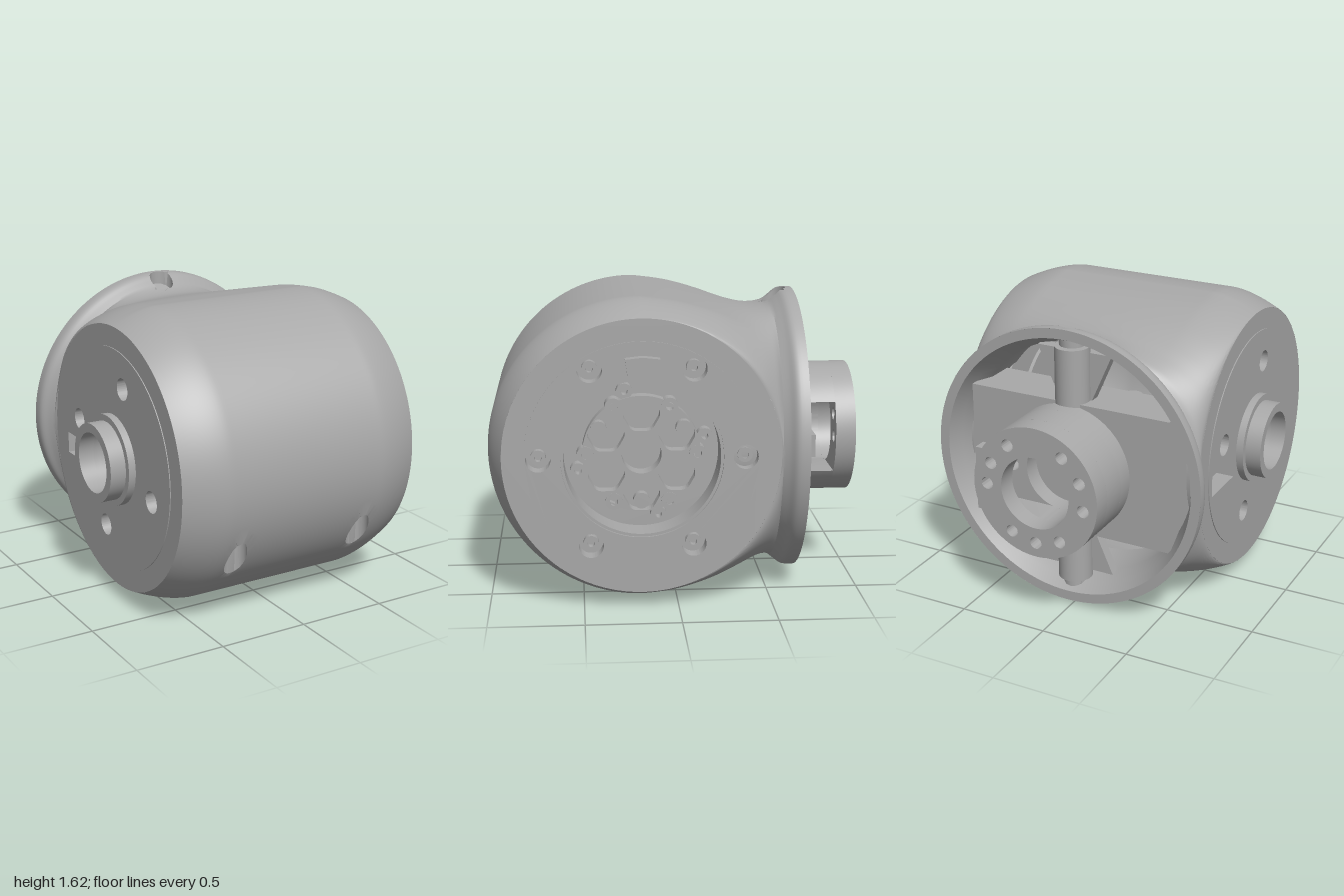
import * as THREE from 'three';
import { toCreasedNormals } from 'three/addons/utils/BufferGeometryUtils.js';

const grey = new THREE.MeshStandardMaterial({ color: 0xa8a8a8, side: THREE.DoubleSide });
grey.name = 'grey metal';

const CX = 0.0275, CY = 0.82, CZ = 0.19; // barrel centre
const HALF = 0.7175, EDGE = 0.73, RADIUS = 0.81; // half width, side face radius, barrel radius
const TAU = Math.PI * 2;

function add(parent, name, geometry) {
  const mesh = new THREE.Mesh(geometry, grey);
  mesh.name = name;
  parent.add(mesh);
  return mesh;
}

const circle = (r, x = 0, y = 0) => new THREE.Shape().absarc(x, y, r, 0, TAU, false);
const polar = (r, deg) => [r * Math.cos(deg * Math.PI / 180), r * Math.sin(deg * Math.PI / 180)];
const polarHoles = (r, ringR, angles) => angles.map(d => circle(r, ...polar(ringR, d)));

// Flat plate with holes, lying between two heights along its axis
function plate(parent, name, shape, holes, from, to) {
  shape.holes = holes;
  const geo = new THREE.ExtrudeGeometry(shape, { depth: to - from, bevelEnabled: false, curveSegments: 40 });
  geo.translate(0, 0, from);
  return add(parent, name, toCreasedNormals(geo, 0.5));
}

// Closed polygon with rounded corners
function roundedPolygon(n, r, x, y, turn) {
  const pts = [];
  for (let i = 0; i < n; i++) {
    const a = turn + i * TAU / n;
    pts.push(new THREE.Vector2(x + r * Math.cos(a), y + r * Math.sin(a)));
  }
  const shape = new THREE.Shape();
  pts.forEach((p, i) => {
    const prev = pts[(i + n - 1) % n], next = pts[(i + 1) % n];
    const s = p.clone().lerp(prev, 0.3), e = p.clone().lerp(next, 0.3);
    if (i) shape.lineTo(s.x, s.y); else shape.moveTo(s.x, s.y);
    shape.quadraticCurveTo(p.x, p.y, e.x, e.y);
  });
  shape.closePath();
  return shape;
}

// Barrel skin flowing into the round rear flange, with screw wells pressed in
function hullGeometry() {
  const COLS = 96, BARREL = 128;
  const neck = new THREE.CatmullRomCurve3([
    [0.19, 0.81, HALF], [0, 0.787, HALF], [-0.2, 0.745, HALF], [-0.35, 0.709, HALF],
    [-0.44, 0.7, HALF], [-0.52, 0.716, 0.72], [-0.575, 0.755, 0.75], [-0.615, 0.785, 0.785],
    [-0.64, 0.79, 0.79], [-0.68, 0.79, 0.79],
  ].map(p => new THREE.Vector3(...p))).getSpacedPoints(60);

  const barrelCurve = a => {
    const q = Math.abs(Math.cos(a));
    return q < 0.64 ? 1 : 1 - Math.pow((q - 0.64) / 0.36, 1.6);
  };
  const neckRow = (p, sign) => a => {
    const c = Math.sqrt(Math.max(0, EDGE * EDGE - (p.x - CZ) ** 2));
    const w = 1 - THREE.MathUtils.smoothstep(p.x, -0.5, CZ);
    const f = THREE.MathUtils.lerp(barrelCurve(a), Math.sin(a), w);
    return [CX + p.z * Math.cos(a), CY + sign * (c + (p.y - c) * f), p.x];
  };
  const barrelRow = phi => a => {
    const r = EDGE + (RADIUS - EDGE) * barrelCurve(a);
    return [CX + HALF * Math.cos(a), CY + r * Math.sin(phi), CZ + r * Math.cos(phi)];
  };

  const rows = [];
  for (let i = neck.length - 1; i > 0; i--) rows.push(neckRow(neck[i], -1));
  for (let i = 0; i <= BARREL; i++) rows.push(barrelRow((i / BARREL - 0.5) * Math.PI));
  for (let i = 1; i < neck.length; i++) rows.push(neckRow(neck[i], 1));

  const pos = [], index = [];
  rows.forEach((row, i) => {
    for (let j = 0; j <= COLS; j++) {
      pos.push(...row(j / COLS * Math.PI));
      if (i < rows.length - 1 && j < COLS) {
        const p = i * (COLS + 1) + j, up = p + COLS + 1;
        index.push(p, up, p + 1, up, up + 1, p + 1);
      }
    }
  });
  const geo = new THREE.BufferGeometry();
  geo.setAttribute('position', new THREE.Float32BufferAttribute(pos, 3));
  geo.setIndex(index);
  geo.computeVertexNormals();

  // Vertical wells: x, z, radius, floor height, upper or lower side
  const wells = [
    [-0.36, 0.89, 0.06, 0.62, -1], [0.415, 0.89, 0.06, 0.62, -1],
    [CX, -0.58, 0.068, 1.5, 1], [CX, -0.58, 0.068, 0.14, -1],
  ];
  const P = geo.attributes.position, N = geo.attributes.normal, step = 0.022;
  for (let i = 0; i < P.count; i++) {
    const x = P.getX(i), y = P.getY(i), z = P.getZ(i);
    for (const [hx, hz, r, floor, side] of wells) {
      const dx = x - hx, dz = z - hz, d = Math.hypot(dx, dz);
      if ((y - CY) * side <= 0 || d > r + step || d === 0) continue;
      const k = d < r - step ? 1 : r / d;
      const mx = dx * (k - 1), mz = dz * (k - 1);
      const ny = d < r ? floor : y - (N.getX(i) * mx + N.getZ(i) * mz) / N.getY(i);
      P.setXYZ(i, x + mx, ny, z + mz);
    }
  }
  return toCreasedNormals(geo, 0.6);
}

function sideGroup(parent, name, x, turn) {
  const g = new THREE.Group();
  g.name = name;
  g.position.set(x, CY, CZ);
  g.rotation.y = turn;
  parent.add(g);
  plate(g, 'sidePanel', circle(EDGE), [circle(0.612)], -0.05, 0);
  return g;
}

// Output side: recessed rotor, six screws and a key
function buildOutputSide(model) {
  const g = sideGroup(model, 'outputSide', 0.745, Math.PI / 2);
  const six = [0, 60, 120, 180, 240, 300];
  plate(g, 'outputCover', circle(0.614), [circle(0.425), ...polarHoles(0.065, 0.54, six)], -0.08, 0.007);
  plate(g, 'recessLip', circle(0.425), [circle(0.41)], -0.16, -0.004);
  plate(g, 'coverBacking', circle(0.61), [circle(0.41)], -0.17, -0.08);
  plate(g, 'recessFloor', circle(0.42), [circle(0.105)], -0.19, -0.16);
  plate(g, 'shaftEnd', circle(0.11), [], -0.26, -0.22);
  for (const d of six) {
    const [u, v] = polar(0.54, d);
    plate(g, 'coverScrew', circle(0.04, u, v), [circle(0.02, u, v)], -0.08, -0.04);
    const [a, b] = polar(0.295, d);
    plate(g, 'rotorLobe', circle(0.045, a, b), [circle(0.022, a, b)], -0.16, -0.085);
  }
  const pockets = six.map(d => roundedPolygon(6, 0.105, ...polar(0.215, d + 30), (d + 30) * Math.PI / 180 + Math.PI / 6));
  plate(g, 'rotor', circle(0.312), [circle(0.105), ...pockets, ...polarHoles(0.022, 0.295, six)], -0.16, -0.09);
  for (const d of [30, 150, 270]) plate(g, 'rotorPin', circle(0.043, ...polar(0.26, d)), [], -0.16, -0.11);
  for (const d of [15, 105, 195, 285]) {
    const [u, v] = polar(0.345, d);
    plate(g, 'rotorScrew', circle(0.042, u, v), [circle(0.018, u, v)], -0.16, -0.1);
  }
  const key = new THREE.Shape([[-0.09, 0.53], [-0.075, 0.43], [0.075, 0.43], [0.09, 0.53], [0, 0.54]]
    .map(p => new THREE.Vector2(...p)));
  plate(g, 'key', key, [], 0, 0.065);
}

// Bearing side: stepped hollow boss, four holes and a cable slot
function buildBearingSide(model) {
  const g = sideGroup(model, 'bearingSide', -0.69, -Math.PI / 2);
  const slot = new THREE.Shape([[-0.57, -0.13], [-0.28, -0.13], [-0.28, -0.01], [-0.57, -0.01]]
    .map(p => new THREE.Vector2(...p)));
  const holes = polarHoles(0.06, 0.43, [75, 165, 255, 345]);
  plate(g, 'bearingCover', circle(0.614), [circle(0.165), slot, ...holes], -0.1, 0.005);
  plate(g, 'coverBacking', circle(0.61), [circle(0.165)], -0.13, -0.1);
  plate(g, 'bossStep', circle(0.25), [circle(0.165)], 0, 0.045);
  plate(g, 'boss', circle(0.215), [circle(0.165)], 0.045, 0.133);
  plate(g, 'boreEnd', circle(0.18), [circle(0.08)], -0.2, -0.13);
}

// Rear opening: rim, block, posts and the slotted hub
function buildRear(model) {
  const g = new THREE.Group();
  g.name = 'rear';
  g.position.set(CX, CY, 0);
  g.rotation.y = Math.PI;
  model.add(g);

  const rim = new THREE.LatheGeometry([[0.79, 0.68], [0.735, 0.68], [0.7, 0.6], [0.665, 0.5], [0.665, 0.25]]
    .map(p => new THREE.Vector2(...p)), 96);
  rim.rotateX(Math.PI / 2);
  add(g, 'rim', toCreasedNormals(rim, 0.5));

  add(g, 'mountBlock', new THREE.BoxGeometry(1.18, 0.75, 0.29)).position.z = 0.495;

  for (const s of [1, -1]) {
    const post = add(g, 'post', new THREE.CylinderGeometry(0.095, 0.095, 0.36, 32));
    post.position.set(0, s * 0.495, 0.58);
    const fin = new THREE.Shape([[-0.1, 0.37], [0.1, 0.37], [0.22, 0.64], [-0.22, 0.64]]
      .map(p => new THREE.Vector2(p[0], p[1] * s)));
    plate(g, 'postFin', fin, [], 0.5, 0.56);
    const screw = plate(g, 'postScrew', circle(0.045), [circle(0.022)], 0, 0.012);
    screw.rotation.x = -s * Math.PI / 2;
    screw.position.set(0, s * 0.68, 0.58);
  }

  const R = 0.365, BORE = 0.2, SLOT = 0.195;
  const angles = [0, 25, 57, 125, 157, 188, 240, 270, 300].map(d => 180 - d);
  const outside = angles.filter(d => polar(1, d)[0] > 0 || Math.abs(polar(0.285, d)[1]) > 0.23);
  const ringHoles = list => polarHoles(0.034, 0.285, list);
  plate(g, 'hubBase', circle(R), [circle(BORE), ...ringHoles(angles)], 0.63, 0.74);
  const o = Math.PI - Math.asin(SLOT / R), i = Math.PI - Math.asin(SLOT / BORE);
  const cShape = new THREE.Shape();
  cShape.absarc(0, 0, R, -o, o, false);
  cShape.absarc(0, 0, BORE, i, -i, true);
  plate(g, 'hubSlotted', cShape, ringHoles(outside), 0.74, 0.89);
  plate(g, 'hubFace', circle(R), [circle(BORE), ...ringHoles(angles)], 0.89, 1);

  add(g, 'hubTab', new THREE.BoxGeometry(0.2, 0.12, 0.075)).position.set(-0.415, 0, 0.7125);
}

export function createModel() {
  const model = new THREE.Group();
  model.name = 'actuatorJoint';
  add(model, 'housing', hullGeometry());
  buildOutputSide(model);
  buildBearingSide(model);
  buildRear(model);
  return model;
}
